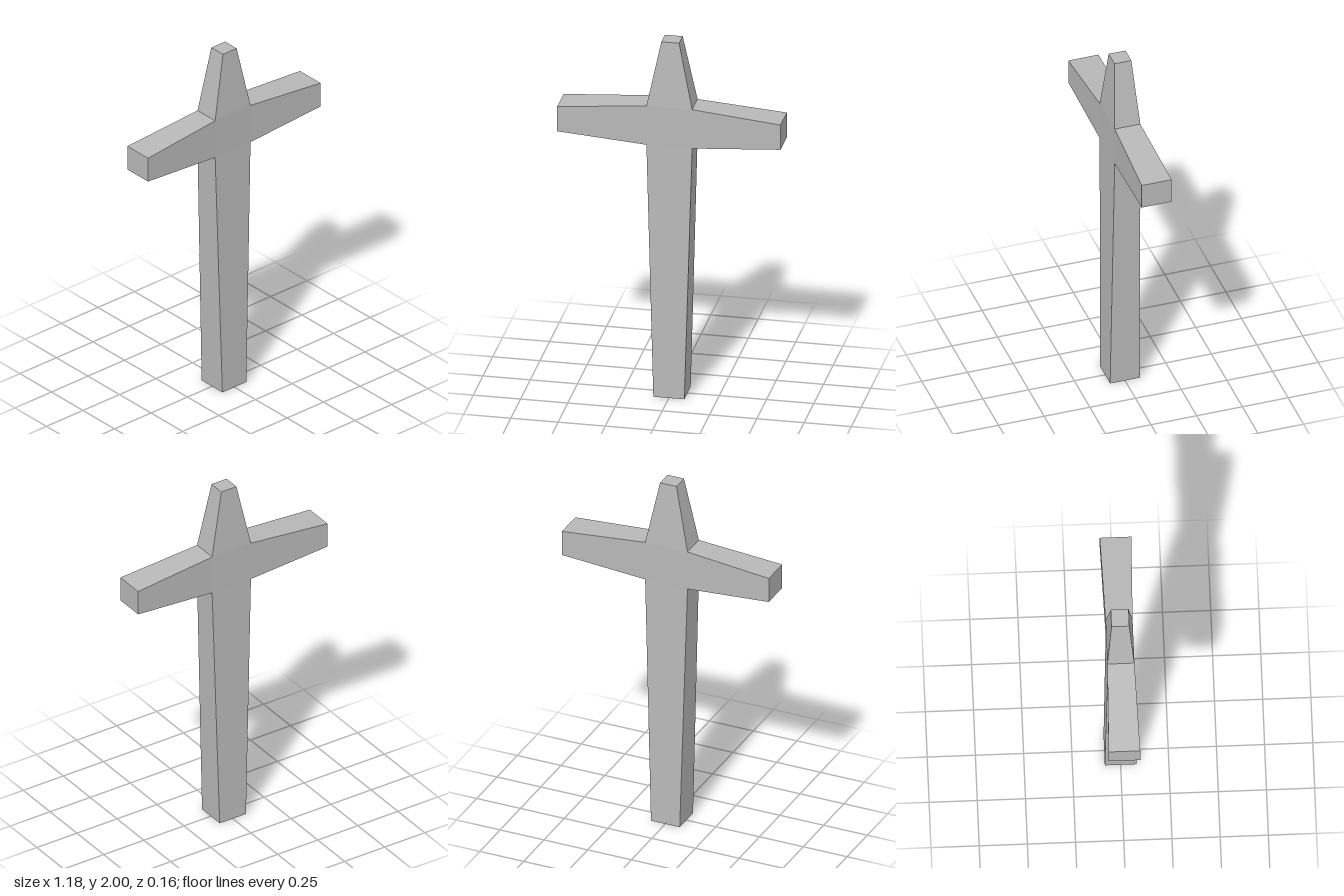
import * as THREE from 'three';

export function createModel() {
  const group = new THREE.Group();
  const stone = new THREE.MeshStandardMaterial({ color: 0xb8b8b8 });
  stone.name = 'grey stone';

  const centreY = 1.53, coreX = 0.121, coreY = 0.11, coreZ = 0.07;

  function add(name, geometry) {
    const mesh = new THREE.Mesh(geometry, stone);
    mesh.name = name;
    group.add(mesh);
    return mesh;
  }

  // Tapered limb growing along +y from the core; its hidden inner cap is dropped
  function limb(name, innerX, outerX, outerZ, length, offset, angle) {
    const geometry = new THREE.BoxGeometry(2, length, 2);
    const p = geometry.attributes.position;
    for (let i = 0; i < p.count; i++) {
      const outer = p.getY(i) > 0;
      p.setX(i, p.getX(i) * (outer ? outerX : innerX));
      p.setZ(i, p.getZ(i) * (outer ? outerZ : coreZ));
    }
    const index = Array.from(geometry.index.array);
    index.splice(18, 6);
    geometry.clearGroups();
    geometry.setIndex(index);
    geometry.translate(0, length / 2 + offset, 0);
    geometry.computeVertexNormals();
    const mesh = add(name, geometry);
    mesh.position.y = centreY;
    mesh.rotation.z = angle;
  }

  // Central block: only its front and back are exposed
  const core = new THREE.BoxGeometry(coreX * 2, coreY * 2, coreZ * 2);
  core.clearGroups();
  core.setIndex(Array.from(core.index.array).slice(24));
  add('crossing', core).position.y = centreY;

  limb('topPost', coreX, 0.047, 0.046, 2 - centreY - coreY, coreY, 0);
  limb('shaft', coreX, 0.082, 0.082, centreY - coreY, coreY, Math.PI);
  for (const [name, side] of [['leftArm', 1], ['rightArm', -1]]) {
    limb(name, coreY, 0.07, 0.082, 0.591 - coreX, coreX, -side * Math.PI / 2);
  }

  return group;
}
